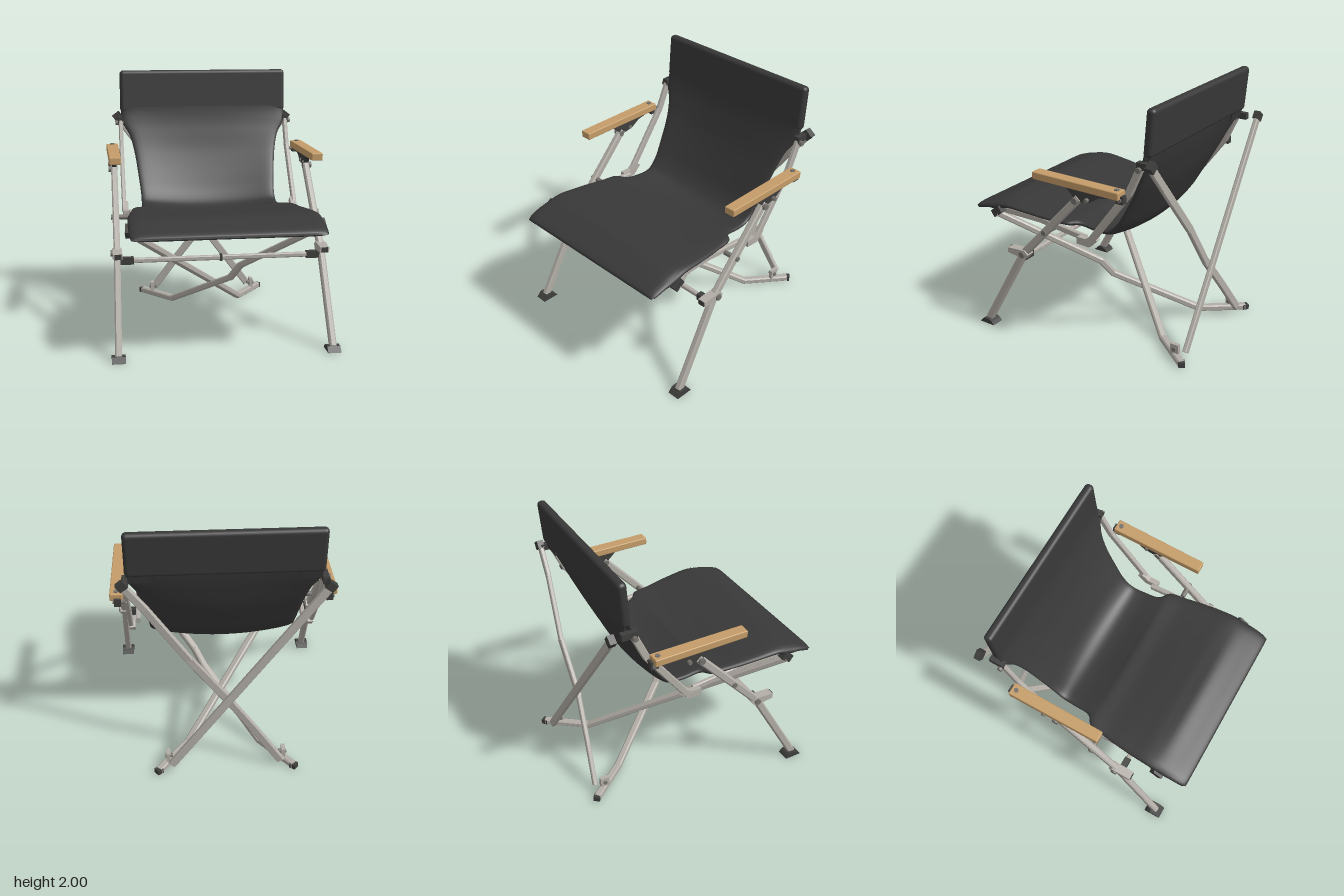
import * as THREE from 'three';
import { RoundedBoxGeometry } from 'three/addons/geometries/RoundedBoxGeometry.js';

const V = (x, y, z) => new THREE.Vector3(x, y, z);
const mat = (name, color, side = THREE.FrontSide) => {
  const m = new THREE.MeshStandardMaterial({ color, side });
  m.name = name;
  return m;
};

export function createModel() {
  const metal = mat('aluminium', 0xb2ada6);
  const fabric = mat('black fabric', 0x383838, THREE.DoubleSide);
  const plastic = mat('dark plastic', 0x3e3e3d);
  const wood = mat('wood', 0xc49c68);
  const steel = mat('dark metal', 0x75726d);
  const root = new THREE.Group();
  root.name = 'foldingChair';

  const add = (name, geo, material, pos = [0, 0, 0], rot = [0, 0, 0]) => {
    const m = new THREE.Mesh(geo, material);
    m.name = name;
    m.position.set(...pos);
    m.rotation.set(...rot);
    root.add(m);
    return m;
  };
  const box = (name, size, pos, material, rot) =>
    add(name, new THREE.BoxGeometry(...size), material, pos, rot);

  // chamfered bar running through a list of points
  const bar = (name, pts, w, h, material = metal) => {
    const a = w / 2, b = h / 2, c = Math.min(w, h) * 0.2;
    const shape = new THREE.Shape([[a, -b + c], [a, b - c], [a - c, b], [-a + c, b],
      [-a, b - c], [-a, -b + c], [-a + c, -b], [a - c, -b]].map(p => new THREE.Vector2(...p)));
    const g = new THREE.Group();
    g.name = name;
    for (let i = 0; i < pts.length - 1; i++) {
      const p = V(...pts[i]), q = V(...pts[i + 1]);
      const extra = i < pts.length - 2 ? 0.008 : 0;
      const m = new THREE.Mesh(new THREE.ExtrudeGeometry(shape,
        { depth: p.distanceTo(q) + extra, bevelEnabled: false }), material);
      m.name = name + 'Section';
      m.position.copy(p);
      m.lookAt(q);
      g.add(m);
    }
    root.add(g);
  };

  // side-view outline pushed out along x
  const plate = (name, zy, x, width, material) => {
    const s = new THREE.Shape(zy.map(([z, y]) => new THREE.Vector2(-z, y)));
    const g = new THREE.ExtrudeGeometry(s, { depth: width, bevelEnabled: false });
    g.translate(0, 0, -width / 2);
    add(name, g, material, [x, 0, 0], [0, Math.PI / 2, 0]);
  };
  const bolt = (x, y, z, r = 0.02, len = 0.07) =>
    add('bolt', new THREE.CylinderGeometry(r, r, len, 12), steel, [x, y, z], [0, 0, Math.PI / 2]);

  // fabric sling: rows of z, y, half width, sag, thickness
  const rows = [
    [0.92, 0.935, 0.69, 0, 0.004], [0.912, 0.955, 0.70, 0, 0.05], [0.80, 1.0, 0.71, 0, 0.06],
    [0.62, 1.035, 0.71, 0, 0.06], [0.40, 1.02, 0.695, 0.01, 0.05], [0.18, 1.0, 0.665, 0.025, 0.05],
    [0.05, 0.995, 0.64, 0.03, 0.05], [-0.01, 0.985, 0.575, 0.04, 0.05], [-0.14, 0.965, 0.56, 0.055, 0.05],
    [-0.24, 0.97, 0.555, 0.06, 0.05], [-0.31, 1.03, 0.555, 0.06, 0.045], [-0.40, 1.17, 0.57, 0.05, 0.04],
    [-0.50, 1.35, 0.595, 0.035, 0.04], [-0.56, 1.48, 0.63, 0.02, 0.04], [-0.60, 1.58, 0.685, 0.01, 0.04],
    [-0.63, 1.68, 0.695, 0, 0.04], [-0.65, 1.88, 0.69, 0, 0.03], [-0.655, 1.92, 0.69, 0, 0.004],
  ];
  const path = new THREE.CatmullRomCurve3(rows.map(r => V(r[2], r[1], r[0])));
  const form = new THREE.CatmullRomCurve3(rows.map(r => V(r[3], r[4], 0)));
  const N = 100, C = 24, L = 2 * C, pos = [], idx = [];
  for (let i = 0; i <= N; i++) {
    const t = i / N, p = path.getPoint(t), f = form.getPoint(t);
    const a = path.getPoint(Math.max(0, t - 0.01)), b = path.getPoint(Math.min(1, t + 0.01));
    const len = Math.hypot(b.y - a.y, b.z - a.z), ny = (a.z - b.z) / len, nz = (b.y - a.y) / len;
    for (let j = 0; j < L; j++) {
      const top = j < C, s = top ? -1 + 2 * j / C : 1 - 2 * (j - C) / C;
      const u = Math.sin(s * Math.PI / 2);
      const half = f.y / 2 * Math.sqrt(Math.max(0, 1 - u ** 20));
      const d = -f.y / 2 - f.x * (1 - u * u) + (top ? half : -half);
      pos.push(u * p.x, p.y + ny * d, p.z + nz * d);
      if (i < N) {
        const k = i * L + j, k2 = i * L + (j + 1) % L;
        idx.push(k, k2, k + L, k2, k2 + L, k + L);
      }
    }
  }
  const sling = new THREE.BufferGeometry();
  sling.setAttribute('position', new THREE.Float32BufferAttribute(pos, 3));
  sling.setIndex(idx);
  sling.computeVertexNormals();
  add('fabricSling', sling, fabric);

  // padded head panel with a flap at each side of the back
  add('headPanel', new RoundedBoxGeometry(1.4, 0.35, 0.07, 4, 0.03), fabric, [0, 1.825, -0.678], [-0.08, 0, 0]);

  for (const s of [-1, 1]) {
    box('backFlap', [0.16, 0.1, 0.012], [s * 0.6, 1.64, -0.672], fabric, [-0.2, 0, 0]);

    // front leg, bent at the crossbar, with its foot
    bar('frontLeg', [[s * 0.797, 0.03, 0.745], [s * 0.782, 0.7, 0.37], [s * 0.775, 1.28, -0.16]], 0.05, 0.06);
    plate('frontFoot', [[0.81, 0], [0.67, 0], [0.69, 0.025], [0.72, 0.04], [0.77, 0.04]], s * 0.797, 0.1, plastic);

    // armrest and its brackets
    const arm = new RoundedBoxGeometry(0.1, 0.058, 0.75, 2, 0.008);
    const ap = arm.attributes.position;
    for (let i = 0; i < ap.count; i++) ap.setX(i, ap.getX(i) * (0.92 - 0.12 * ap.getZ(i)));
    add('armrest', arm, wood, [s * 0.778, 1.38, -0.145]);
    plate('armBracket', [[-0.04, 1.352], [-0.15, 1.25], [-0.26, 1.27], [-0.34, 1.32], [-0.5, 1.352]], s * 0.775, 0.036, plastic);
    box('armRearHinge', [0.05, 0.06, 0.06], [s * 0.77, 1.345, -0.51], plastic);
    bolt(s * 0.745, 1.345, -0.515, 0.016, 0.12);
    add('armScrew', new THREE.CylinderGeometry(0.018, 0.018, 0.01, 12), steel, [s * 0.778, 1.412, -0.48]);

    // seat rail, back rail and the joint between them
    bar('seatRail', [[s * 0.655, 0.955, 0.7], [s * 0.655, 0.955, 0.3], [s * 0.65, 0.905, -0.12]], 0.035, 0.05);
    plate('seatJoint', [[-0.08, 0.875], [-0.19, 0.87], [-0.26, 0.94], [-0.22, 0.98], [-0.16, 0.93], [-0.08, 0.93]], s * 0.69, 0.045, metal);
    bar('backRail', [[s * 0.7, 0.91, -0.19], [s * 0.7, 1.37, -0.53], [s * 0.7, 1.59, -0.63]], 0.034, 0.055);
    box('seatFrontHinge', [0.06, 0.06, 0.09], [s * 0.70, 0.95, 0.68], plastic, [0.6, 0, 0]);
    box('railTopHinge', [0.045, 0.05, 0.12], [s * 0.7, 1.595, -0.66], plastic);

    // crossbar brackets and bolts
    plate('legBracket', [[0.5, 0.69], [0.5, 0.73], [0.42, 0.735], [0.34, 0.74], [0.31, 0.71], [0.34, 0.67], [0.42, 0.68]], s * 0.782, 0.07, metal);
    box('bracketCap', [0.05, 0.04, 0.03], [s * 0.78, 0.71, 0.49], plastic);
    box('crossbarEnd', [0.1, 0.052, 0.05], [s * 0.71, 0.655, 0.4], plastic);
    bolt(s * 0.79, 0.705, 0.36, 0.025, 0.08);
    bolt(s * 0.75, 0.935, 0.15, 0.02, 0.13);
    bolt(s * 0.785, 1.26, -0.14, 0.025);
    bolt(s * 0.785, 1.285, -0.24, 0.016);
    bolt(s * 0.71, 1.57, -0.625);

    // rear foot end cap and hinge block
    box('rearFootCap', [0.05, 0.04, 0.05], [s * 0.52, 0.025, -0.88], plastic, [0, s * 0.68, 0]);
    box('rearHingeBlock', [0.03, 0.08, 0.07], [s * 0.445, 0.085, -0.78], metal);
    bolt(s * 0.44, 0.085, -0.78, 0.016, 0.06);

    // top cap of each rear brace
    const tz = s < 0 ? -0.8 : -0.72;
    box('braceCap', [0.07, 0.06, 0.05], [s * 0.72, 1.605, tz], plastic, [0, 0, -s * 0.64]);
  }

  // crossbar between the front legs
  bar('crossbar', [[-0.69, 0.655, 0.4], [0.69, 0.655, 0.4]], 0.036, 0.036);
  box('crossbarCollar', [0.018, 0.05, 0.044], [0, 0.655, 0.4], plastic);

  // diagonal bars from the seat front to the rear floor, one kinked past the other
  bar('straightDiagonal', [[-0.71, 0.94, 0.68], [0.29, 0.03, -0.58], [0.52, 0.026, -0.88]], 0.055, 0.05);
  bar('kinkedDiagonal', [[0.71, 0.94, 0.68], [0.21, 0.49, 0.06], [0.14, 0.37, -0.01],
    [-0.28, 0.03, -0.58], [-0.52, 0.026, -0.88]], 0.055, 0.05);

  // crossed rear braces
  bar('straightBrace', [[-0.72, 1.6, -0.8], [0.42, 0.06, -0.855]], 0.035, 0.062);
  bar('kinkedBrace', [[0.72, 1.6, -0.715], [0.57, 1.41, -0.725], [0.27, 1.0, -0.775], [0, 0.63, -0.77],
    [-0.22, 0.34, -0.81], [-0.42, 0.06, -0.85]], 0.035, 0.062);
  return root;
}
